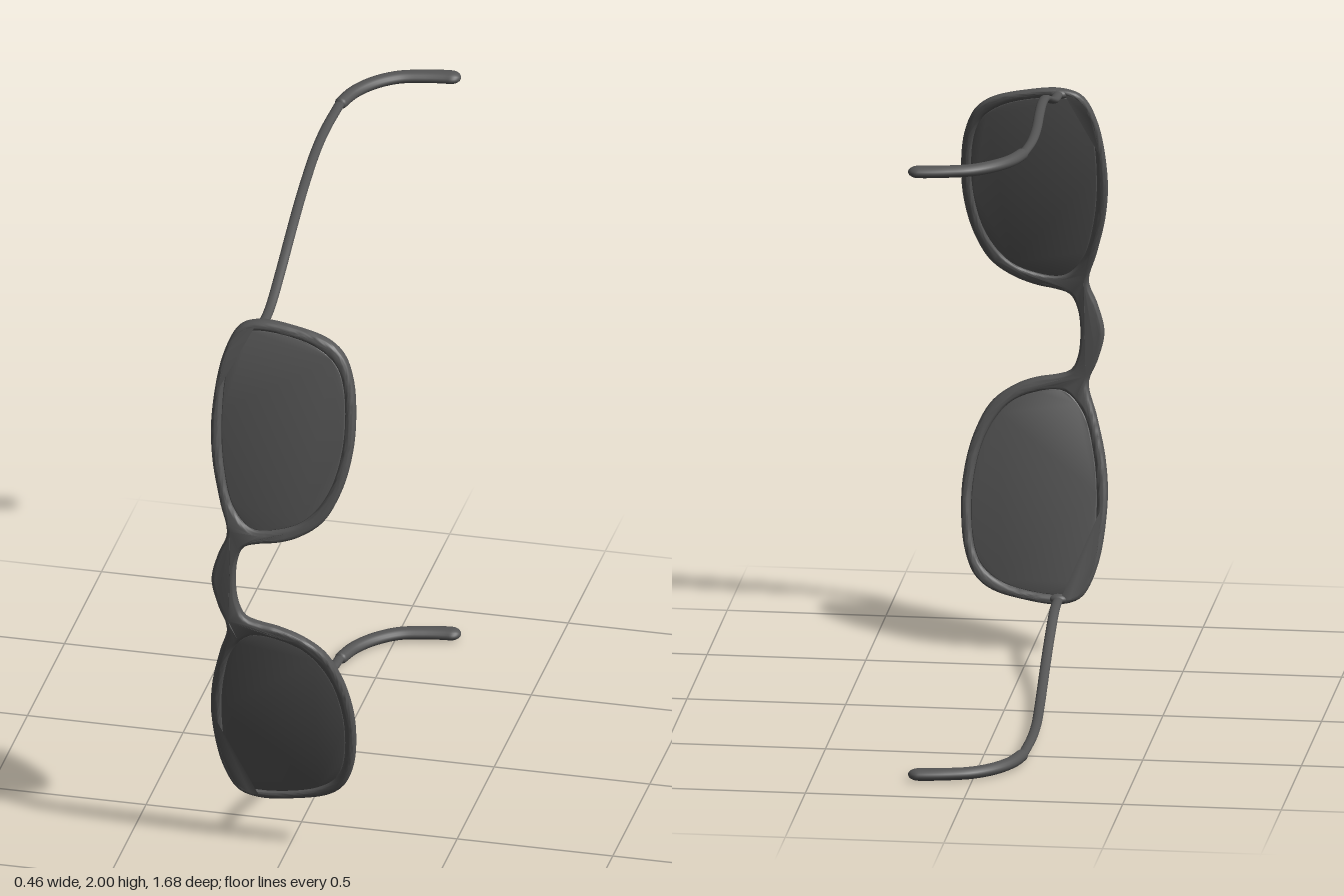
import * as THREE from 'three';
import { mergeVertices, toCreasedNormals } from 'three/addons/utils/BufferGeometryUtils.js';

const material = new THREE.MeshStandardMaterial({ color: 0x555555 });

// Outlines as [x, s]; s is the distance from the mirror plane at y = 1.
const FRAME_HALF = [
  [-0.137, 0], [-0.128, 0.08], [-0.105, 0.125], [-0.06, 0.141], [0, 0.152], [0.07, 0.178],
  [0.143, 0.232], [0.195, 0.33], [0.224, 0.46], [0.226, 0.58], [0.212, 0.68], [0.18, 0.755],
  [0.127, 0.798], [0.01, 0.829], [-0.095, 0.838], [-0.16, 0.815], [-0.206, 0.724],
  [-0.232, 0.53], [-0.222, 0.396], [-0.19, 0.264], [-0.162, 0.165], [-0.19, 0.09], [-0.211, 0],
];
const LENS = [
  [-0.2, 0.53], [-0.186, 0.71], [-0.143, 0.797], [-0.085, 0.81], [0.09, 0.777], [0.166, 0.713],
  [0.196, 0.53], [0.162, 0.34], [0.09, 0.235], [0.01, 0.196], [-0.085, 0.188],
  [-0.147, 0.25], [-0.184, 0.37],
];

const mirrored = (pts) => pts.map(([x, s]) => [x, -s]);

function smoothOutline(pts, count) {
  const curve = new THREE.CatmullRomCurve3(pts.map(([x, s]) => new THREE.Vector3(x, s, 0)), true);
  return curve.getSpacedPoints(count).slice(0, -1).map((p) => new THREE.Vector2(p.x, p.y));
}

// Flat bridge in the middle, each lens side swept straight back.
const frontZ = (s) => 0.82 - 0.24 * Math.max(0, Math.abs(s) - 0.16);

// Extrudes an outline with rounded edges, then bends it along frontZ.
function bentPlate(shape, halfDepth, bevel, name) {
  let geo = new THREE.ExtrudeGeometry(shape, {
    depth: 2 * (halfDepth - bevel), steps: 1, bevelEnabled: true, bevelSegments: 5,
    bevelSize: bevel, bevelThickness: bevel, bevelOffset: -bevel,
  });
  const pos = geo.attributes.position;
  for (let i = 0; i < pos.count; i++) {
    const s = pos.getY(i);
    pos.setXYZ(i, pos.getX(i), 1 + s, pos.getZ(i) - (halfDepth - bevel) + frontZ(s));
  }
  geo.deleteAttribute('normal');
  geo.deleteAttribute('uv');
  geo = toCreasedNormals(mergeVertices(geo, 1e-5), 0.7);
  const mesh = new THREE.Mesh(geo, material);
  mesh.name = name;
  return mesh;
}

// Sweeps an ellipse along a path; radii(t) gives [in the xz plane, along y].
function sweep(points, radii, name, steps = 64, sides = 16) {
  const curve = new THREE.CatmullRomCurve3(points.map((p) => new THREE.Vector3(...p)));
  const up = new THREE.Vector3(0, 1, 0);
  const verts = [], index = [];
  for (let i = 0; i <= steps; i++) {
    // Sections crowd together at both ends so the caps come out round.
    const t = (1 - Math.cos((Math.PI * i) / steps)) / 2;
    const p = curve.getPointAt(t), tan = curve.getTangentAt(t);
    const a = new THREE.Vector3().crossVectors(tan, up).normalize();
    const b = new THREE.Vector3().crossVectors(tan, a);
    const [ra, rb] = radii(t);
    for (let j = 0; j < sides; j++) {
      const w = (2 * Math.PI * j) / sides;
      const v = p.clone().addScaledVector(a, ra * Math.cos(w)).addScaledVector(b, rb * Math.sin(w));
      verts.push(v.x, v.y, v.z);
      if (i < steps) {
        const k = (j + 1) % sides, r = i * sides, n = r + sides;
        index.push(r + j, r + k, n + j, r + k, n + k, n + j);
      }
    }
  }
  const geo = new THREE.BufferGeometry();
  geo.setAttribute('position', new THREE.Float32BufferAttribute(verts, 3));
  geo.setIndex(index);
  geo.computeVertexNormals();
  const mesh = new THREE.Mesh(geo, material);
  mesh.name = name;
  return mesh;
}

// Centre lines as [x, s, z]
const TEMPLE = [
  [-0.088, 0.822, 0.66], [-0.088, 0.83, 0.56], [-0.092, 0.877, 0.4], [-0.098, 0.925, 0.245],
  [-0.108, 0.955, 0.085], [-0.12, 0.967, -0.075], [-0.133, 0.969, -0.25], [-0.137, 0.971, -0.4],
  [-0.129, 0.978, -0.58],
];
const EAR_TIP = [
  [-0.131, 0.978, -0.552], [-0.104, 0.98, -0.645], [-0.056, 0.981, -0.72], [0.008, 0.981, -0.773],
  [0.08, 0.981, -0.797], [0.15, 0.981, -0.81], [0.2, 0.981, -0.812],
];

export function createModel() {
  const model = new THREE.Group();
  model.name = 'sunglasses';

  // One-piece front: both rims and the bridge
  const outline = [...FRAME_HALF, ...mirrored(FRAME_HALF.slice(1, -1)).reverse()];
  const frame = new THREE.Shape(smoothOutline(outline, 260));
  for (const pts of [LENS, mirrored(LENS)]) frame.holes.push(new THREE.Path(smoothOutline(pts, 96)));
  model.add(bentPlate(frame, 0.021, 0.013, 'frontFrame'));

  for (const [side, label] of [[1, 'upper'], [-1, 'lower']]) {
    const place = (pts) => pts.map(([x, s, z]) => [x, 1 + side * s, z]);

    // Thin lens filling the rim
    const lens = new THREE.Shape(smoothOutline(side > 0 ? LENS : mirrored(LENS), 96));
    model.add(bentPlate(lens, 0.01, 0.003, label + 'Lens'));

    // Hinge knuckle behind the rim
    const hinge = new THREE.Mesh(new THREE.SphereGeometry(1, 20, 14), material);
    hinge.scale.set(0.03, 0.016, 0.022);
    hinge.position.set(-0.088, 1 + side * 0.822, 0.652);
    hinge.name = label + 'Hinge';
    model.add(hinge);

    // Slim temple arm
    model.add(sweep(place(TEMPLE), () => [0.016, 0.011], label + 'Temple'));

    // Ear tip widening towards its rounded end
    const tipRadii = (t) => {
      const cap = Math.min(1, Math.sqrt(Math.max(0, 1 - ((t - 0.93) / 0.07) ** 2)));
      const round = (t > 0.93 ? cap : 1) * Math.min(1, Math.sqrt(t / 0.025));
      return [(0.02 + 0.012 * t) * round, 0.0185 * round];
    };
    model.add(sweep(place(EAR_TIP), tipRadii, label + 'EarTip'));
  }
  return model;
}
